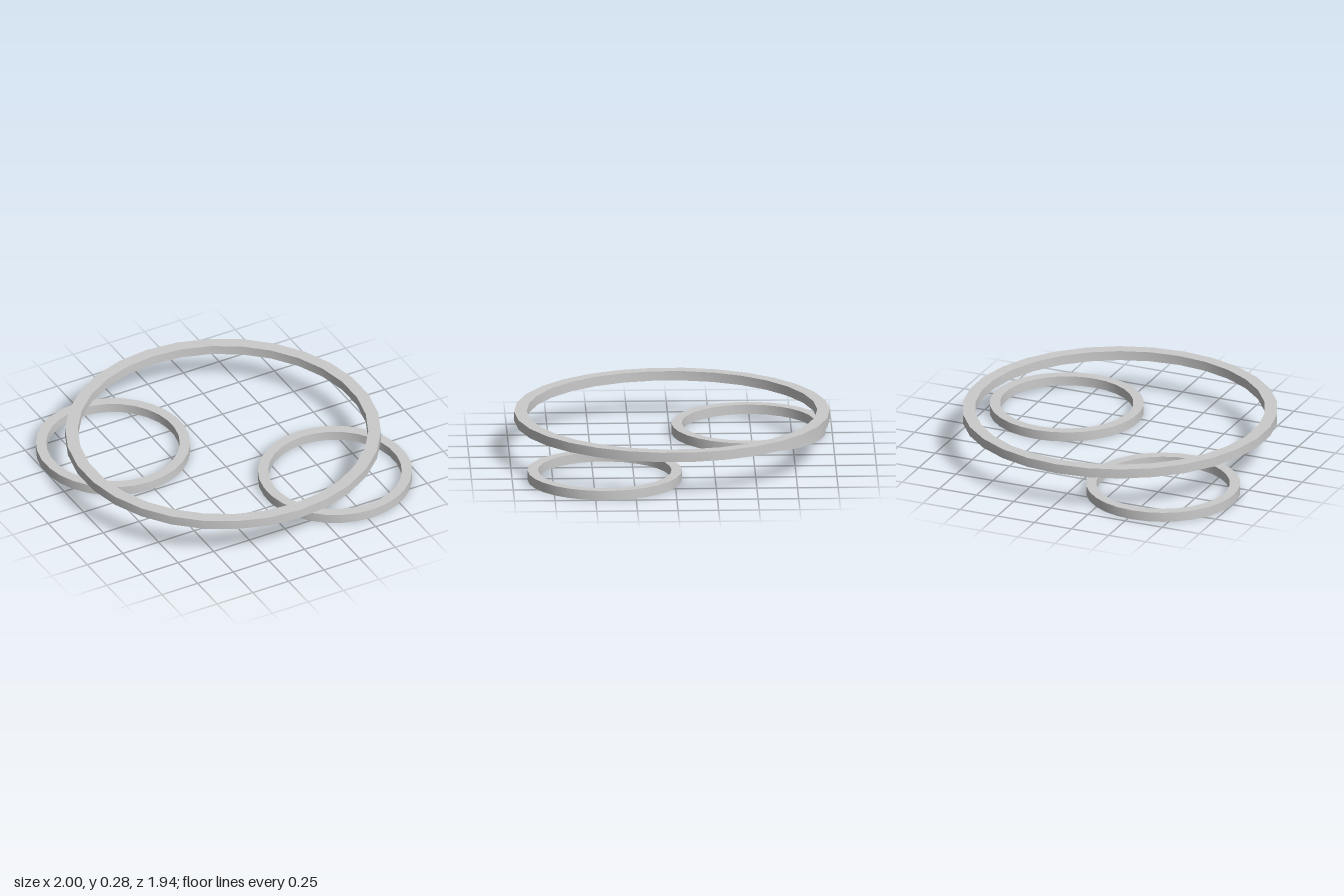
import * as THREE from 'three';
import { toCreasedNormals } from 'three/addons/utils/BufferGeometryUtils.js';

const SIDES = 30;
const HEIGHT = 0.06;

// Flat band with a rectangular cross-section, standing on y = 0
function makeRing(name, outer, inner, x, y, z, material) {
  const profile = [
    [inner, 0], [outer, 0], [outer, HEIGHT], [inner, HEIGHT], [inner, 0],
  ].map(([r, h]) => new THREE.Vector2(r, h));
  const geometry = toCreasedNormals(new THREE.LatheGeometry(profile, SIDES), Math.PI / 6);
  const ring = new THREE.Mesh(geometry, material);
  ring.name = name;
  ring.position.set(x, y, z);
  return ring;
}

export function createModel() {
  const model = new THREE.Group();
  model.name = 'rings';
  const material = new THREE.MeshStandardMaterial({ color: 0xcccccc });

  // Large ring floating above
  model.add(makeRing('largeRing', 0.972, 0.894, -0.022, 0.225, 0, material));

  // Two small rings on the ground, at opposite corners
  model.add(makeRing('smallRingBack', 0.475, 0.411, -0.5275, 0, -0.486, material));
  model.add(makeRing('smallRingFront', 0.475, 0.411, 0.5275, 0, 0.43, material));

  return model;
}
